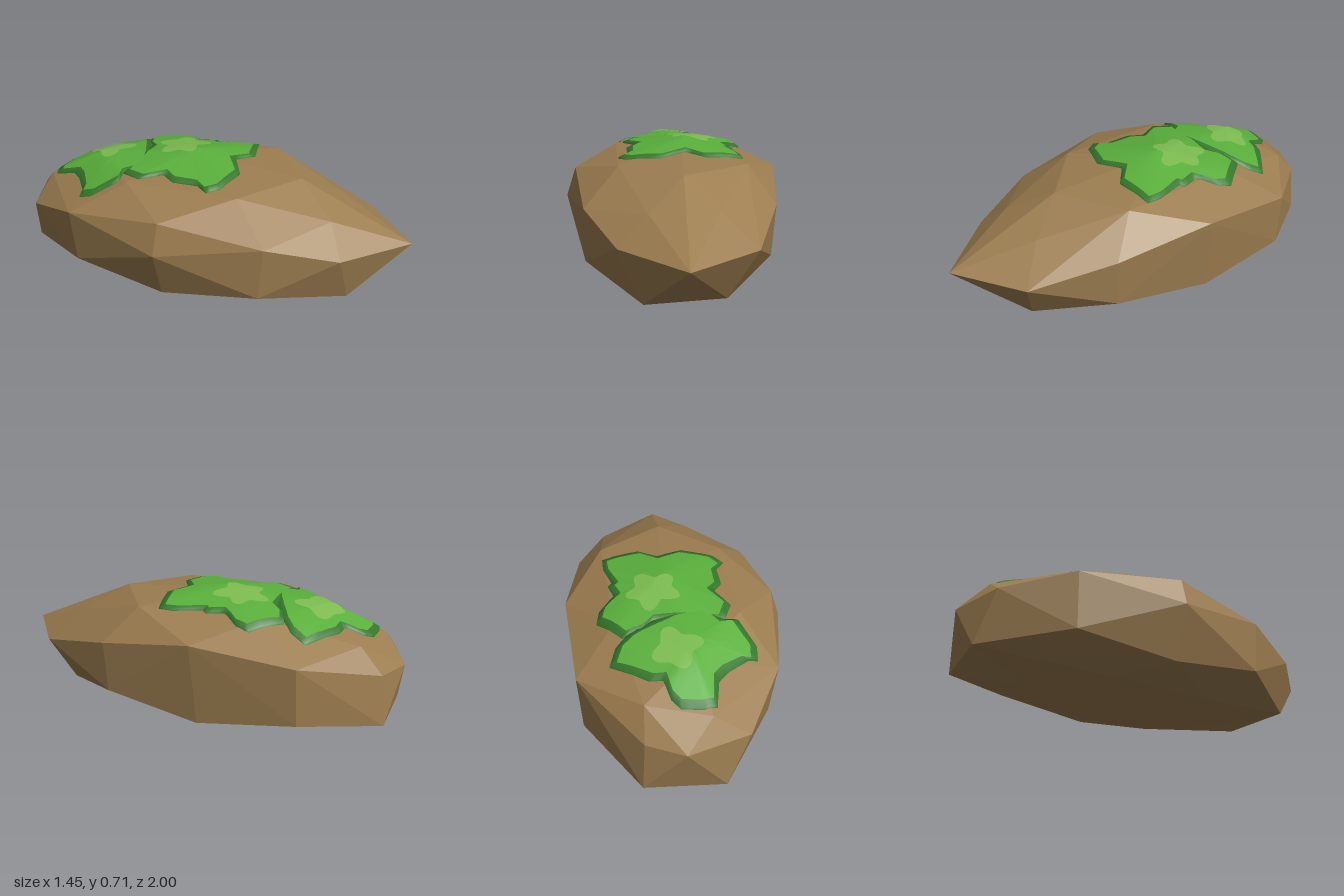
import * as THREE from 'three';
import { ConvexGeometry } from 'three/addons/geometries/ConvexGeometry.js';

// Corners of the faceted boulder, ring by ring
const ROCK = [
  // underside
  [0, 0, -0.07], [0.28, 0.03, 0.43], [-0.13, 0.03, 0.36], [-0.42, 0.03, -0.15],
  [-0.3, 0.02, -0.58], [0.13, 0.03, -0.45], [0.36, 0.03, 0.04],
  // lower rim
  [0.23, 0.09, 0.84], [0.56, 0.09, 0.6], [0.63, 0.17, 0.15], [0.42, 0.09, -0.34], [0.15, 0.15, -0.79],
  [-0.28, 0.09, -1], [-0.65, 0.09, -0.82], [-0.7, 0.16, -0.32], [-0.49, 0.09, 0.17], [-0.22, 0.16, 0.62],
  // waist
  [0.54, 0.36, 0.995], [0.72, 0.36, 0.6], [0.65, 0.45, 0.15], [0.47, 0.53, -0.34], [0.17, 0.46, -0.79],
  [-0.28, 0.36, -0.97], [-0.49, 0.36, -0.955], [-0.72, 0.36, -0.71], [-0.73, 0.46, -0.32],
  [-0.58, 0.37, 0.22], [-0.53, 0.535, 0.2], [-0.21, 0.45, 0.64], [0.11, 0.36, 0.87],
  // shoulders and crown
  [0.5, 0.505, 0.55], [0.2, 0.5, 0.72], [0.26, 0.63, 0.45], [0.46, 0.63, 0.08], [-0.15, 0.62, 0.38],
  [-0.46, 0.615, -0.15], [-0.36, 0.605, -0.57], [0.1, 0.62, -0.48], [-0.23, 0.5, -0.86], [-0.55, 0.48, -0.78],
  [0, 0.68, -0.1],
];

// Moss clump outlines as [x, z], each around its own centre
const CLUMPS = [
  {
    name: 'rearMoss', centre: [-0.28, -0.5], spot: [-0.27, -0.55, 0.11, 4],
    outline: [[-0.4, -0.81], [-0.34, -0.79], [-0.27, -0.72], [-0.2, -0.74], [0.02, -0.71], [0.03, -0.62],
      [0, -0.54], [-0.08, -0.42], [-0.16, -0.32], [-0.3, -0.2], [-0.41, -0.25], [-0.47, -0.21], [-0.6, -0.29],
      [-0.63, -0.36], [-0.59, -0.39], [-0.53, -0.52], [-0.51, -0.6], [-0.55, -0.73], [-0.5, -0.77]],
  },
  {
    name: 'frontMoss', centre: [-0.02, -0.14], spot: [0, -0.23, 0.125, 5],
    outline: [[0.02, -0.56], [0.2, -0.49], [0.22, -0.42], [0.19, -0.3], [0.26, -0.23], [0.25, -0.2],
      [0.36, -0.09], [0.4, -0.02], [0.24, 0.11], [0.11, 0.09], [0.02, 0.22], [-0.16, 0.26], [-0.23, 0.23],
      [-0.22, 0.15], [-0.29, 0.03], [-0.28, -0.06], [-0.4, -0.13], [-0.41, -0.25], [-0.32, -0.29],
      [-0.2, -0.36], [-0.08, -0.42], [-0.05, -0.5]],
  },
];

// Height of the convex boulder's upper surface at (x, z)
function surfaceHeight(geometry) {
  const p = geometry.attributes.position, n = geometry.attributes.normal, planes = [];
  for (let i = 0; i < p.count; i += 3) {
    const normal = new THREE.Vector3().fromBufferAttribute(n, i);
    const d = normal.dot(new THREE.Vector3().fromBufferAttribute(p, i));
    if (normal.y > 0.05) planes.push([normal, d]);
  }
  return (x, z) => Math.min(...planes.map(([m, d]) => (d - m.x * x - m.z * z) / m.y));
}

// Split every outline edge so that a layer can follow the facets below
function subdivide(points, parts) {
  return points.flatMap(([x, z], i) => {
    const [u, v] = points[(i + 1) % points.length];
    return Array.from({ length: parts }, (_, k) => [x + (u - x) * k / parts, z + (v - z) * k / parts]);
  });
}

// Layer draped on the rock; rings hold [inset, or scale if scaled; lift above the rock]
function drape(height, [cx, cz], outline, rings) {
  const pos = [], index = [], n = outline.length;
  for (const [scale, inset, lift] of rings) {
    for (const [x, z] of outline) {
      const dx = x - cx, dz = z - cz;
      const s = scale * Math.max(0, 1 - inset / Math.hypot(dx, dz));
      const px = cx + dx * s, pz = cz + dz * s;
      pos.push(px, height(px, pz) + lift, pz);
    }
  }
  for (let r = 0; r < rings.length - 1; r++) {
    for (let i = 0; i < n; i++) {
      const a = r * n + i, b = r * n + (i + 1) % n;
      index.push(a, a + n, b, b, a + n, b + n);
    }
  }
  const g = new THREE.BufferGeometry();
  g.setAttribute('position', new THREE.Float32BufferAttribute(pos, 3));
  g.setIndex(index);
  g.computeVertexNormals();
  return g;
}

export function createModel() {
  const model = new THREE.Group();
  const add = (parent, name, geometry, color, flatShading = false) => {
    const material = new THREE.MeshStandardMaterial({ color, flatShading, side: THREE.DoubleSide });
    const mesh = new THREE.Mesh(geometry, material);
    mesh.name = name;
    parent.add(mesh);
  };

  // Boulder
  const rock = new ConvexGeometry(ROCK.map((p) => new THREE.Vector3(...p)));
  add(model, 'boulder', rock, 0x9c7d50, true);
  const height = surfaceHeight(rock);

  // Moss clumps: dark rim, green cushion, pale spot
  for (const { name, centre, outline, spot } of CLUMPS) {
    const clump = new THREE.Group();
    clump.name = name;
    model.add(clump);
    const edge = subdivide(outline, 3);
    add(clump, 'mossRim', drape(height, centre, edge, [[1, 0, -0.01], [1, 0, 0.01], [1, 0.036, 0.016]]), 0x35782c);
    const cushion = [1, 0.8, 0.6, 0.4, 0.2, 0].map((s) => [s, 0.036, 0.024 - 0.008 * s]);
    add(clump, 'mossCushion', drape(height, centre, edge, cushion), 0x5ab03c);

    const [sx, sz, radius, lobes] = spot;
    const ring = Array.from({ length: 40 }, (_, i) => {
      const t = i / 40 * Math.PI * 2;
      const r = radius * (1 + 0.22 * Math.cos(lobes * t - Math.PI) + 0.06 * Math.sin(3 * t));
      return [sx + r * Math.cos(t), sz + r * Math.sin(t)];
    });
    const pale = [1, 0.66, 0.33, 0].map((s) => [s, 0, 0.028]);
    add(clump, 'mossSpot', drape(height, [sx, sz], ring, pale), 0x7cbc50);
  }
  return model;
}
